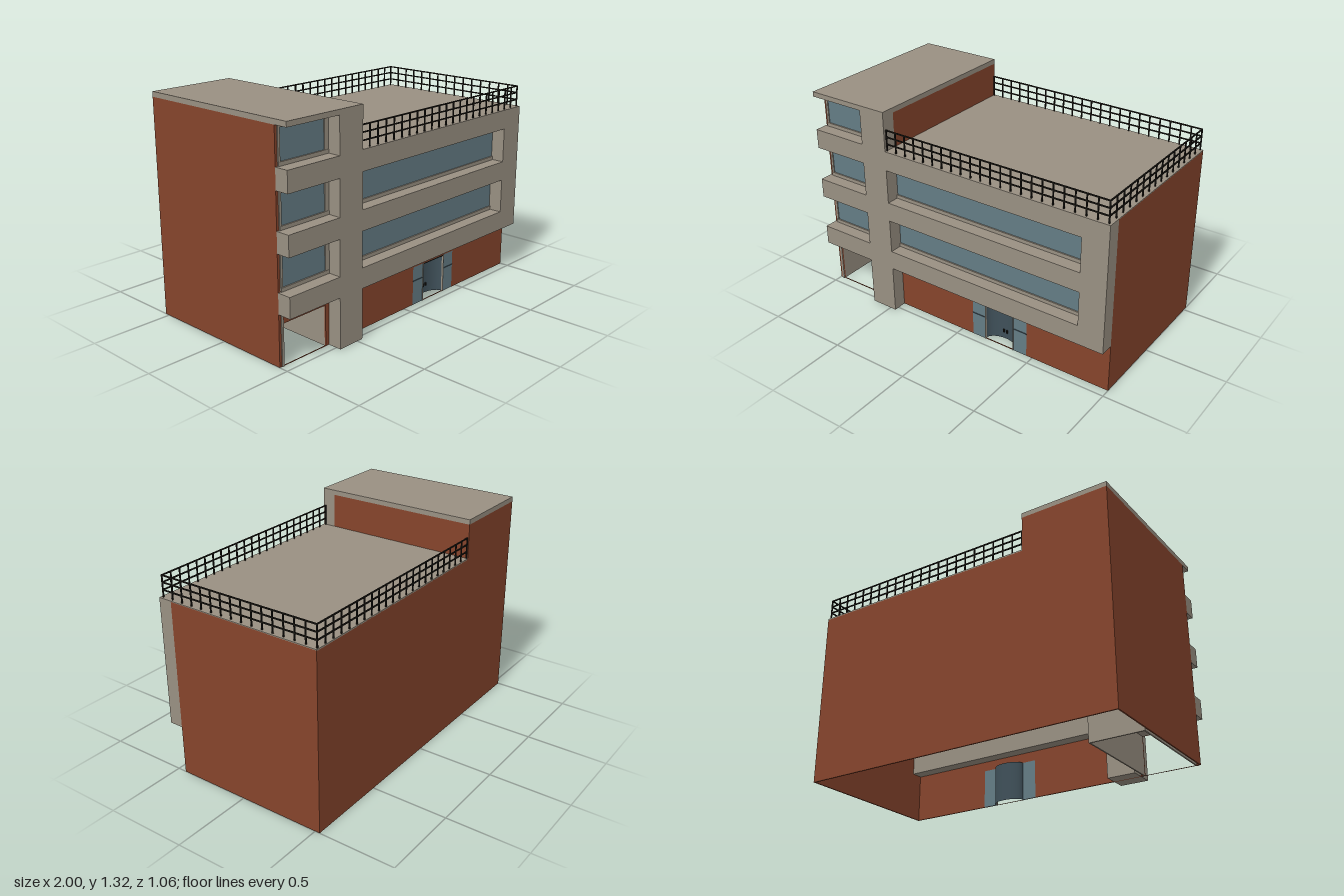
import * as THREE from 'three';

const mat = (name, color, side = THREE.FrontSide) => {
  const m = new THREE.MeshStandardMaterial({ color, side });
  m.name = name;
  return m;
};

export function createModel() {
  const brick = mat('brick red', 0x86442c, THREE.DoubleSide);
  const stone = mat('warm grey concrete', 0x999082);
  const glass = mat('blue grey glass', 0x647c85);
  const darkGlass = mat('dark entrance glass', 0x3f5059, THREE.DoubleSide);
  const metal = mat('black railing metal', 0x1c1914);

  const model = new THREE.Group();
  model.name = 'officeBuilding';
  const WALL = 0.445, FRONT = 0.53, BACK = -0.53, T = 0.008;

  // Box given by its two corners
  const box = (name, material, x0, x1, y0, y1, z0, z1, parent = model) => {
    const m = new THREE.Mesh(new THREE.BoxGeometry(x1 - x0, y1 - y0, z1 - z0), material);
    m.position.set((x0 + x1) / 2, (y0 + y1) / 2, (z0 + z1) / 2);
    m.name = name;
    parent.add(m);
    return m;
  };
  const rect = (path, x0, x1, y0, y1) => {
    path.moveTo(x0, y0);
    path.lineTo(x1, y0);
    path.lineTo(x1, y1);
    path.lineTo(x0, y1);
    path.closePath();
    return path;
  };

  // Brick shell, open underneath
  box('rightWall', brick, -1, -1 + T, 0, 1.29, BACK, WALL);
  box('leftWall', brick, 1 - T, 1, 0, 1.075, BACK, WALL);
  box('backWall', brick, -1 + T, 1 - T, 0, 1.075, BACK, BACK + T);
  box('towerBackWall', brick, -1 + T, -0.46, 1.075, 1.29, BACK, BACK + T);
  box('towerInnerWall', brick, -0.46 - T, -0.46, 1.075, 1.29, BACK + T, WALL);

  // Ground floor front with openings for the garage and the entrance
  const ground = rect(new THREE.Shape(), -1 + T, 1 - T, 0, 0.3);
  ground.holes.push(rect(new THREE.Path(), -0.97, -0.66, 0.001, 0.24));
  ground.holes.push(rect(new THREE.Path(), 0.08, 0.46, 0.001, 0.24));
  const groundWall = new THREE.Mesh(
    new THREE.ExtrudeGeometry(ground, { depth: T, bevelEnabled: false }), brick);
  groundWall.position.z = WALL - T;
  groundWall.name = 'groundFloorWall';
  model.add(groundWall);
  box('cornerTrim', stone, -0.985, -0.97, 0, 0.3, WALL, WALL + 0.005);

  // Roofs
  box('mainRoof', stone, -0.46, 1, 1.072, 1.08, BACK, WALL);
  box('towerRoof', stone, -1, -0.46, 1.29, 1.32, BACK, FRONT);

  // Projecting concrete facade, with a lining that reaches inside
  const facade = new THREE.Group();
  facade.name = 'facade';
  model.add(facade);
  const facadePart = (name, x0, x1, y0, y1) => {
    box(name, stone, x0, x1, y0, y1, WALL, FRONT, facade);
    box(name + 'Lining', stone, Math.max(x0, -0.99), Math.min(x1, 0.99), y0, Math.min(y1, 1.07), 0.36, WALL - T, facade);
  };
  facadePart('column', -0.635, -0.46, 0, 1.29);
  for (const [y0, y1] of [[0.3, 0.42], [0.63, 0.75], [0.96, 1.08]]) {
    facadePart('towerBand', -1, -0.635, y0, y1);
    facadePart('mainBand', -0.46, 1, y0, y1);
  }
  for (const y of [0.42, 0.75]) facadePart('endPier', 0.84, 1, y, y + 0.21);

  // Windows: pane with concrete head and sill
  const windowUnit = (name, x0, x1, y0, y1, frameL, frameR) => {
    const g = new THREE.Group();
    g.name = name;
    model.add(g);
    const a = WALL - T, b = WALL + 0.008;
    box('pane', glass, x0 + frameL, x1 - frameR, y0 + 0.022, y1 - 0.016, a, WALL, g);
    box('sill', stone, x0, x1, y0, y0 + 0.022, a, b, g);
    box('head', stone, x0, x1, y1 - 0.016, y1, a, b, g);
    if (frameL) box('jamb', stone, x0, x0 + frameL, y0, y1, a, WALL + 0.006, g);
    if (frameR) box('jamb', stone, x1 - frameR, x1, y0, y1, a, WALL + 0.006, g);
  };
  for (const y of [0.42, 0.75]) windowUnit('ribbonWindow', -0.46, 0.84, y, y + 0.21, 0, 0);
  for (const y of [0.42, 0.75, 1.08]) {
    windowUnit('towerWindow', -0.985, -0.635, y, y + 0.21, 0.015, 0.028);
    box('cornerBrick', brick, -1 + T, -0.985, y, y + 0.21, WALL - T, WALL);
  }

  // Garage bay recessed into the ground floor
  const garage = new THREE.Group();
  garage.name = 'garage';
  model.add(garage);
  const gz = -0.195;
  box('garageRightWall', stone, -0.978, -0.97, 0, 0.24, gz, WALL - T, garage);
  box('garageLeftWall', stone, -0.66, -0.652, 0, 0.24, gz, WALL - T, garage);
  box('garageBack', stone, -0.978, -0.652, 0, 0.24, gz - T, gz, garage);
  box('garageCeiling', stone, -0.978, -0.652, 0.24, 0.248, gz - T, WALL - T, garage);

  // Entrance: side panes and a curved recess of dark glass
  const entrance = new THREE.Group();
  entrance.name = 'entrance';
  model.add(entrance);
  for (const [x0, x1] of [[0.08, 0.17], [0.37, 0.46]]) {
    box('sidePane', glass, x0, x1, 0, 0.24, WALL - T, WALL, entrance);
    box('sidePaneRail', darkGlass, x0, x1, 0.148, 0.154, WALL, WALL + 0.003, entrance);
  }
  const recess = new THREE.Mesh(
    new THREE.CylinderGeometry(0.1, 0.1, 0.24, 24, 1, true, Math.PI / 2, Math.PI), darkGlass);
  recess.scale.z = 0.6;
  recess.position.set(0.27, 0.12, WALL - T);
  recess.name = 'curvedDoors';
  entrance.add(recess);
  box('doorHead', metal, 0.17, 0.37, 0.233, 0.24, WALL - T, WALL, entrance);
  for (const x of [0.17, 0.366]) box('doorPost', stone, x, x + 0.004, 0, 0.24, WALL - T, WALL + 0.004, entrance);
  for (const x of [0.255, 0.277]) box('doorHandle', metal, x, x + 0.008, 0.045, 0.065, 0.379, 0.386, entrance);

  // Roof railing: three runs of posts and rails
  const railing = new THREE.Group();
  railing.name = 'roofRailing';
  model.add(railing);
  const r = 0.0035, X0 = -0.456, X1 = 0.984, Z0 = -0.522, Z1 = 0.514;
  const post = (x, z) => box('post', metal, x - r, x + r, 1.08, 1.21, z - r, z + r, railing);
  for (const z of [Z0, Z1]) {
    for (let i = 0; i <= 22; i++) post(X0 + (X1 - X0) * i / 22, z);
  }
  for (let i = 1; i < 15; i++) post(X1, Z0 + (Z1 - Z0) * i / 15);
  for (const y of [1.122, 1.166, 1.207]) {
    for (const z of [Z0, Z1]) box('rail', metal, X0, X1, y - r, y + r, z - r, z + r, railing);
    box('rail', metal, X1 - r, X1 + r, y - r, y + r, Z0, Z1, railing);
  }

  return model;
}
